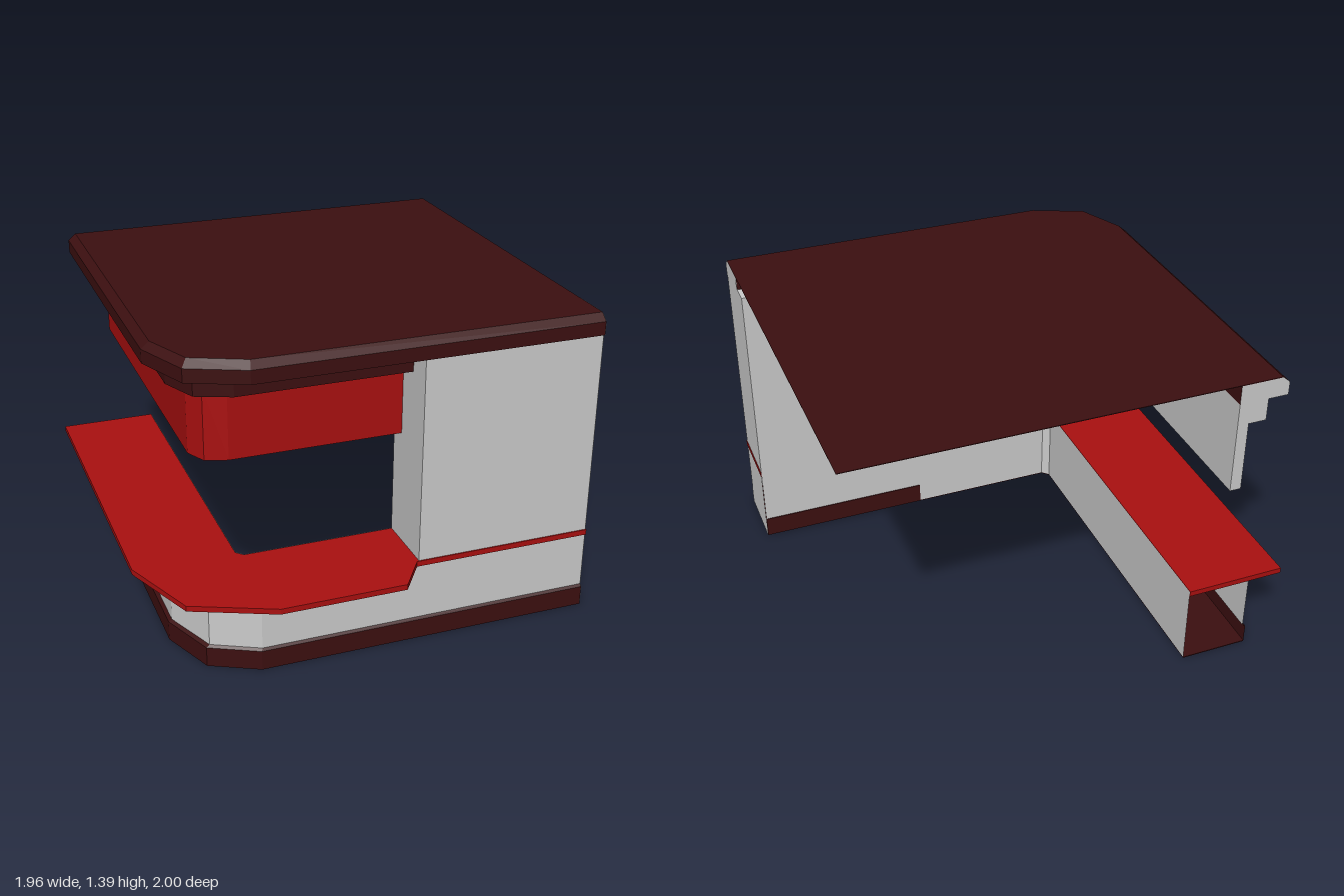
import * as THREE from 'three';

const mat = (color) => new THREE.MeshStandardMaterial({ color, side: THREE.DoubleSide, flatShading: true });

export function createModel() {
  const group = new THREE.Group();
  const grey = mat(0xcccccc), red = mat(0xaa1010), dark = mat(0x3c0f10);

  const add = (name, geometry, material) => {
    const mesh = new THREE.Mesh(geometry, material);
    mesh.name = name;
    group.add(mesh);
    return mesh;
  };

  // Plan line: along the side, round the two-step corner, along the front
  const plan = (side, midX, midZ, cornerX, front, end = 0.98, turn = 0.5) =>
    [[side, -1], [side, turn], [midX, midZ], [cornerX, front], [end, front]];

  // Surface through plan lines at given heights: rows of [plan, y]
  const band = (name, rows, material) => {
    const pos = [];
    for (let r = 0; r < rows.length - 1; r++) {
      const [a, ya] = rows[r], [b, yb] = rows[r + 1];
      for (let i = 0; i < a.length - 1; i++) {
        const p = [a[i][0], ya, a[i][1]], q = [a[i + 1][0], ya, a[i + 1][1]];
        const s = [b[i][0], yb, b[i][1]], t = [b[i + 1][0], yb, b[i + 1][1]];
        pos.push(...s, ...t, ...p, ...p, ...t, ...q);
      }
    }
    const g = new THREE.BufferGeometry();
    g.setAttribute('position', new THREE.Float32BufferAttribute(pos, 3));
    g.computeVertexNormals();
    return add(name, g, material);
  };

  const shapeOf = (pts) => new THREE.Shape(pts.map(([x, y]) => new THREE.Vector2(x, y)));

  // Horizontal slab from a plan outline
  const slab = (name, pts, y0, y1, material) => {
    const g = new THREE.ExtrudeGeometry(shapeOf(pts), { depth: y1 - y0, bevelEnabled: false });
    g.rotateX(Math.PI / 2).translate(0, y1, 0);
    return add(name, g, material);
  };

  const box = (name, x0, x1, y0, y1, z0, z1, material) => {
    const g = new THREE.BoxGeometry(x1 - x0, y1 - y0, z1 - z0);
    g.translate((x0 + x1) / 2, (y0 + y1) / 2, (z0 + z1) / 2);
    return add(name, g, material);
  };

  // Plan lines
  const plinth = plan(-0.835, -0.735, 0.745, -0.525, 0.85);
  const wall = plan(-0.82, -0.72, 0.74, -0.52, 0.84);
  const innerWall = [[-0.53, -1], [-0.53, 0.51], [-0.5, 0.54], [0.98, 0.54]];
  const roof = plan(-0.89, -0.79, 0.745, -0.55, 0.85);
  const roofTop = plan(-0.855, -0.765, 0.715, -0.54, 0.815);
  const trim = plan(-0.8, -0.73, 0.66, -0.58, 0.72, 0.18);
  const fascia = plan(-0.72, -0.675, 0.59, -0.58, 0.62, 0.18);
  const fasciaInner = plan(-0.67, -0.56, 0.52, -0.46, 0.54, 0.18);
  const roofInner = plan(-0.67, -0.66, 0.59, -0.6, 0.63, 0.98);

  // Lower counter: floor, plinth, walls and worktop
  slab('floor', [...plinth, [0.98, 0.54], [-0.5, 0.54], [-0.53, 0.51], [-0.53, -1]], 0, 0.004, dark);
  band('plinth', [[plinth, 0], [plinth, 0.09], [wall, 0.1]], dark);
  band('counterWall', [[wall, 0.1], [wall, 0.36]], grey);
  band('counterInnerWall', [[innerWall, 0.38], [innerWall, 0]], grey);
  slab('worktop', [
    [-0.98, -1], [-0.98, 0.5], [-0.84, 0.85], [-0.49, 1], [0.06, 1], [0.17, 0.845],
    [0.983, 0.845], [0.983, 0.542], [-0.502, 0.542], [-0.532, 0.512], [-0.532, -1],
  ], 0.355, 0.38, red);

  // Pillar, its inner plinth and end panel
  box('pillar', 0.18, 0.98, 0.37, 1.33, 0.54, 0.84, grey);
  box('pillarInnerPlinth', 0.18, 0.98, 0.003, 0.1, 0.536, 0.545, dark);
  const endShape = shapeOf([
    [-0.85, 0], [-0.85, 0.09], [-0.84, 0.1], [-0.84, 1.3], [-0.85, 1.3], [-0.85, 1.36],
    [-0.815, 1.39], [-0.63, 1.39], [-0.63, 1.33], [-0.54, 1.33], [-0.54, 0],
  ]);
  add('pillarEndPanel', new THREE.ShapeGeometry(endShape).rotateY(Math.PI / 2).translate(0.981, 0, 0), grey);

  // Roof sheet with its bevelled edge and inner return
  slab('roofSheet', [...roofTop, [0.98, -1]], 1.387, 1.39, dark);
  band('roofEdge', [[roofTop, 1.39], [roof, 1.36], [roof, 1.3], [roofInner, 1.3]], dark);
  band('roofInnerEdge', [[roofInner, 1.387], [roofInner, 1.3]], dark);

  // Stepped trim and hanging fascia
  band('trim', [[trim, 1.3], [trim, 1.2], [fascia, 1.2]], dark);
  band('fascia', [[fascia, 1.2], [fascia, 0.88]], red);
  band('fasciaUnderside', [[fascia, 0.88], [fasciaInner, 0.88]], dark);
  const side = fasciaInner.slice(0, 2), corner = fasciaInner.slice(1, 4), front = fasciaInner.slice(3);
  band('fasciaInnerSide', [[side, 0.88], [side, 1.3]].reverse(), grey);
  band('fasciaInnerCorner', [[corner, 1.33], [corner, 0.88]], dark);
  band('fasciaInnerFront', [[front, 1.33], [front, 0.88]], grey);
  band('fasciaTopLedge', [[roofInner, 1.33], [fasciaInner, 1.33]], dark);

  // Closed rear end of the roof edge and fascia
  const rearShape = shapeOf([
    [-0.855, 1.39], [-0.89, 1.36], [-0.89, 1.3], [-0.8, 1.3], [-0.8, 1.2],
    [-0.72, 1.2], [-0.72, 0.88], [-0.67, 0.88], [-0.67, 1.39],
  ]);
  add('fasciaRearEnd', new THREE.ShapeGeometry(rearShape).translate(0, 0, -1), grey);

  return group;
}
